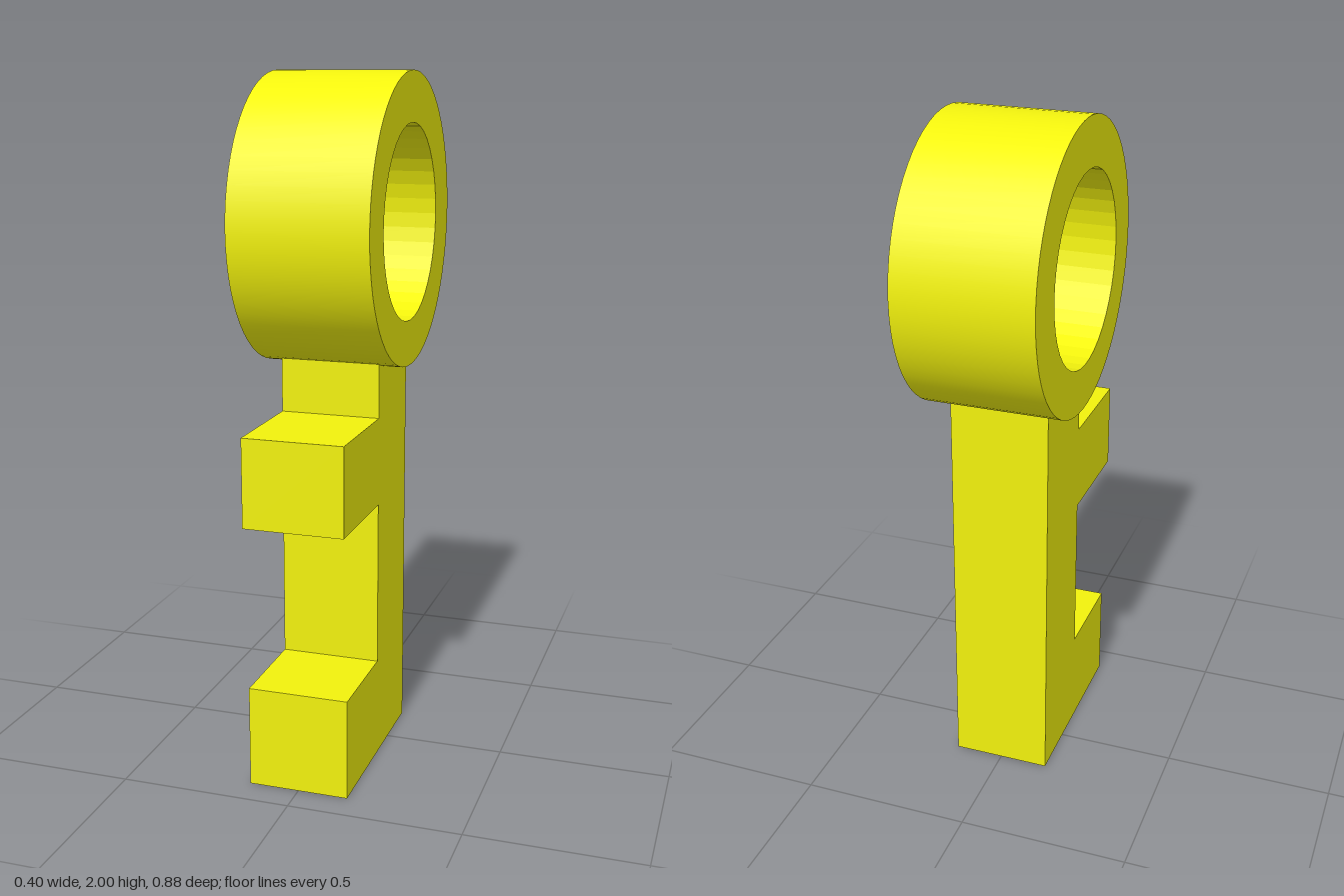
import * as THREE from 'three';
import { toCreasedNormals } from 'three/addons/utils/BufferGeometryUtils.js';

const material = new THREE.MeshStandardMaterial({ color: 0xf2f20d });

// Extrudes a side profile drawn in (z, y) across the given width, centred on x = 0.
function sideExtrude(name, shape, width) {
  const geometry = new THREE.ExtrudeGeometry(shape, { depth: width, bevelEnabled: false, curveSegments: 32 });
  geometry.translate(0, 0, -width / 2).rotateY(-Math.PI / 2);
  const mesh = new THREE.Mesh(toCreasedNormals(geometry, 0.12), material);
  mesh.name = name;
  return mesh;
}

export function createModel() {
  const group = new THREE.Group();
  group.name = 'key';

  // Round bow: smooth outside, faceted bore set slightly off centre
  const bow = new THREE.Shape().absarc(-0.022, 1.585, 0.415, 0, Math.PI * 2, false);
  const bore = [];
  const sides = 40;
  for (let i = 0; i < sides; i++) {
    const a = (-i / sides) * Math.PI * 2;
    bore.push(new THREE.Vector2(-0.013 + 0.278 * Math.cos(a), 1.58 + 0.278 * Math.sin(a)));
  }
  bow.holes.push(new THREE.Path([...bore, bore[0]]));
  group.add(sideExtrude('bow', bow, 0.4));

  // Shank with its two teeth, top edge tucked into the bow
  const profile = [
    [-0.17, 0], [0.41, 0], [0.41, 0.295], [0.115, 0.295], [0.115, 0.78],
    [0.44, 0.78], [0.44, 1.037], [0.115, 1.037], [0.115, 1.2], [-0.17, 1.2],
  ].map(([z, y]) => new THREE.Vector2(z, y));
  group.add(sideExtrude('shankAndTeeth', new THREE.Shape(profile), 0.292));

  return group;
}
